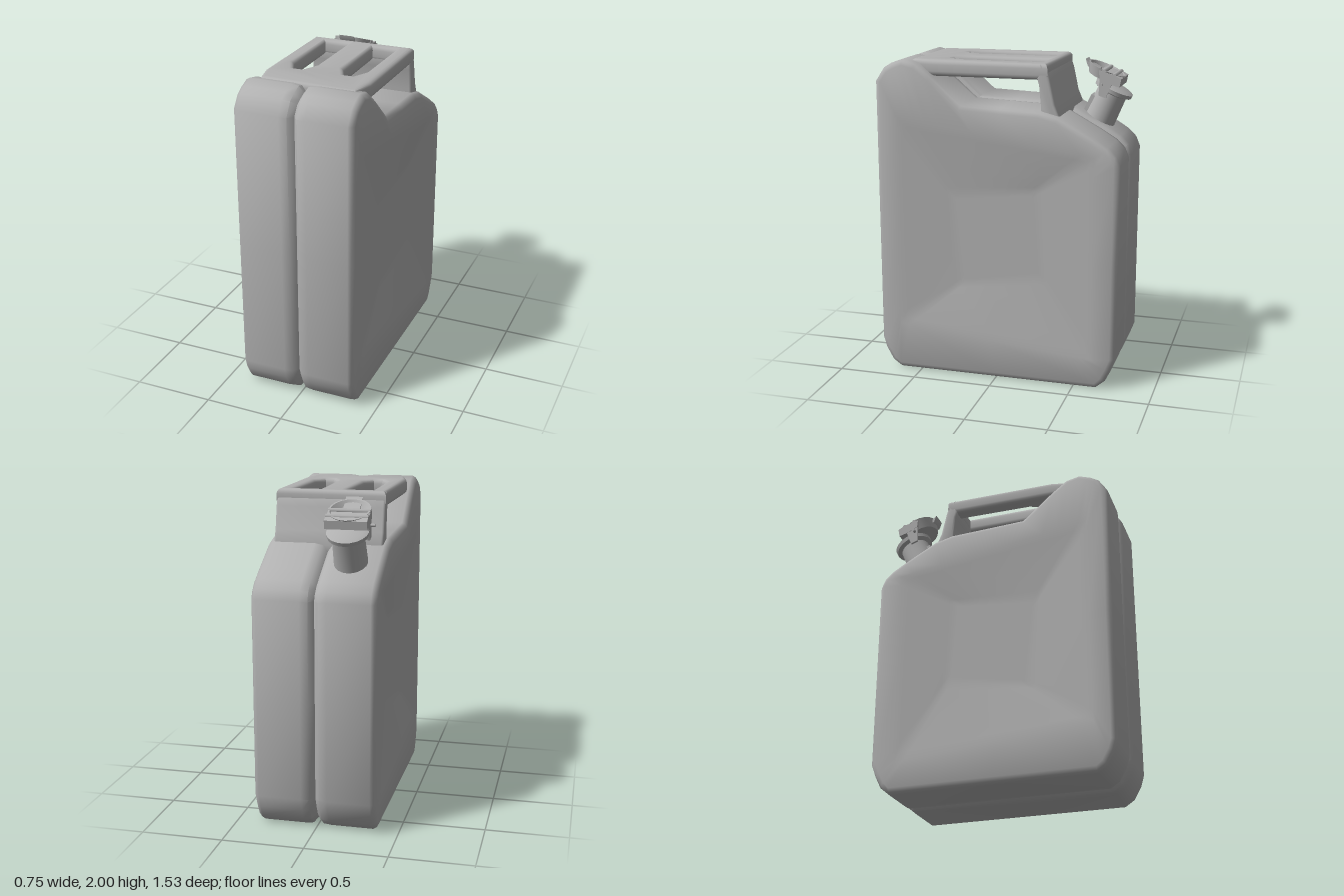
import * as THREE from 'three';
import { toCreasedNormals } from 'three/addons/utils/BufferGeometryUtils.js';

const steel = new THREE.MeshStandardMaterial({ color: 0xb0b0b0 });
steel.name = 'grey steel';

// Can outline as [z, y], one list per side, each starting at a corner
const sides = [
  [[0.71, 1.945], [0.66, 1.975], [0.59, 2], [0.5, 1.98], [0.4, 1.905], [0.21, 1.74],
    [-0.03, 1.73], [-0.27, 1.72], [-0.39, 1.69], [-0.6, 1.575]],
  [[-0.69, 1.52], [-0.74, 1.47], [-0.765, 1.41], [-0.765, 0.8], [-0.765, 0.2]],
  [[-0.735, 0.12], [-0.7, 0.05], [-0.64, 0], [0, 0], [0.64, 0]],
  [[0.7, 0.04], [0.745, 0.12], [0.765, 0.19], [0.765, 1], [0.765, 1.86]],
];
const outline = sides.flat();

// Outline moved inward by d
function inset(d) {
  const n = outline.length;
  return outline.map(([z, y], i) => {
    const a = outline[(i + n - 1) % n], b = outline[(i + 1) % n];
    const tz = b[0] - a[0], ty = b[1] - a[1], l = Math.hypot(tz, ty);
    return [z - (ty / l) * d, y + (tz / l) * d];
  });
}

// Four-cornered ring sampled to match the outline points
function quadRing(corners) {
  return sides.flatMap((side, s) => {
    const pts = [...side, sides[(s + 1) % 4][0]];
    const run = [0];
    for (let i = 1; i < pts.length; i++) {
      run.push(run[i - 1] + Math.hypot(pts[i][0] - pts[i - 1][0], pts[i][1] - pts[i - 1][1]));
    }
    const a = corners[s], b = corners[(s + 1) % 4];
    return side.map((_, i) => {
      const t = run[i] / run[run.length - 1];
      return [a[0] + (b[0] - a[0]) * t, a[1] + (b[1] - a[1]) * t];
    });
  });
}

// Two pressed shells: centre seam, rounded rims and sunken side panels
function bodyGeometry() {
  const rim = [[0.62, 1.64], [-0.61, 1.46], [-0.61, 0.19], [0.63, 0.31]];
  const recess = [[0.29, 1.17], [-0.25, 1.23], [-0.29, 0.69], [0.23, 0.6]];
  const rimX = 0.373, recessX = 0.335;
  // ring part-way down the slope from rim to recess
  const slope = (t) => [rimX + (recessX - rimX) * t,
    quadRing(rim.map(([z, y], i) => [z + (recess[i][0] - z) * t, y + (recess[i][1] - y) * t]))];
  const half = [
    [0.03, inset(0.006)], [0.08, outline], [0.34, outline], [0.36, inset(0.012)], [rimX, inset(0.036)],
    slope(0), slope(0.12), slope(0.9), slope(1),
    [recessX, quadRing(recess.map(([z, y]) => [z * 0.9, 0.92 + (y - 0.92) * 0.9]))],
  ];
  const mirrored = half.map(([x, r]) => [-x, r]).reverse();
  const rings = [...mirrored, [0, inset(0.045)], ...half];
  const n = outline.length, pos = [], idx = [];
  rings.forEach(([x, r]) => r.forEach(([z, y]) => pos.push(x, y, z)));
  const end = rings.length * n, last = end - n;
  pos.push(-recessX, 0.92, 0, recessX, 0.92, 0);
  for (let i = 0; i < n; i++) {
    const j = (i + 1) % n;
    for (let k = 0; k < rings.length - 1; k++) {
      const a = k * n, b = a + n;
      idx.push(a + i, b + i, b + j, a + i, b + j, a + j);
    }
    idx.push(end, i, j, end + 1, last + j, last + i);
  }
  const g = new THREE.BufferGeometry();
  g.setAttribute('position', new THREE.Float32BufferAttribute(pos, 3));
  g.setIndex(idx);
  return toCreasedNormals(g, 0.85);
}

const toShape = (pts) => new THREE.Shape(pts.map(([a, b]) => new THREE.Vector2(a, b)));

// Side profile [z, y] extruded across x, centred on x = 0
function acrossX(pts, width, bevel) {
  const g = new THREE.ExtrudeGeometry(toShape(pts.map(([z, y]) => [-z, y])), {
    depth: width - 2 * bevel, bevelEnabled: bevel > 0, bevelSize: bevel,
    bevelThickness: bevel, bevelOffset: -bevel, bevelSegments: 3,
  });
  g.translate(0, 0, -(width - 2 * bevel) / 2).rotateY(Math.PI / 2);
  return toCreasedNormals(g, 0.8);
}

function add(parent, name, geometry, x = 0, y = 0, z = 0) {
  const mesh = new THREE.Mesh(geometry, steel);
  mesh.name = name;
  mesh.position.set(x, y, z);
  parent.add(mesh);
  return mesh;
}

// Three carrying bars cut from one rounded plate with two slots
function handleGeometry() {
  const b = 0.03;
  const plate = toShape([[-0.335, -0.315], [0.335, -0.315], [0.335, 0.4], [0.3, 0.55], [-0.3, 0.55], [-0.335, 0.4]]);
  for (const s of [-1, 1]) {
    plate.holes.push(new THREE.Path([[0.085, -0.25], [0.235, -0.25], [0.23, 0.22], [0.185, 0.315], [0.135, 0.315], [0.09, 0.22]]
      .map(([x, z]) => new THREE.Vector2(s * x, z))));
  }
  const g = new THREE.ExtrudeGeometry(plate, {
    depth: 0.1 - 2 * b, bevelEnabled: true, bevelSize: b, bevelThickness: b, bevelOffset: -b, bevelSegments: 4,
  });
  g.rotateX(Math.PI / 2).translate(0, 2 - b, 0);
  return toCreasedNormals(g, 0.8);
}

// Pouring neck with collar, and a round clamp lid tilted over it
function makeSpout() {
  const spout = new THREE.Group();
  spout.name = 'spout';
  spout.position.x = -0.175;

  const neck = add(spout, 'neck', toCreasedNormals(new THREE.LatheGeometry(
    [[0.105, -0.05], [0.1, 0.03], [0.095, 0.19], [0.122, 0.2], [0.125, 0.225], [0.1, 0.235], [0, 0.235]]
      .map(([r, y]) => new THREE.Vector2(r, y)), 20), 0.6), 0, 1.6, -0.53);
  neck.rotation.x = -0.43;

  const lid = add(spout, 'lid', toCreasedNormals(new THREE.LatheGeometry(
    [[0, -0.035], [0.1, -0.035], [0.125, 0.03], [0.115, 0.03], [0.09, 0], [0, 0]]
      .map(([r, y]) => new THREE.Vector2(r, y)), 20), 0.6), 0, 1.895, -0.565);
  lid.rotation.x = -0.4;

  // Curved lever over the lid, with stiffening ribs
  add(spout, 'lever', acrossX([[-0.545, 1.92], [-0.6, 1.905], [-0.64, 1.895], [-0.685, 1.87],
    [-0.675, 1.82], [-0.62, 1.835], [-0.55, 1.87]], 0.25, 0));
  for (const z of [-0.575, -0.64]) {
    const rib = add(spout, 'leverRib', new THREE.CylinderGeometry(0.014, 0.014, 0.25, 8), 0, 1.915 + (z + 0.575) * 0.4, z);
    rib.rotation.z = Math.PI / 2;
  }
  add(spout, 'leverTip', acrossX([[-0.445, 1.98], [-0.46, 1.935], [-0.53, 1.895], [-0.53, 1.92], [-0.47, 1.955]], 0.1, 0));

  // Clamp arms and hinge pin
  for (const s of [-1, 1]) {
    add(spout, 'clampArm', acrossX([[-0.55, 1.88], [-0.63, 1.85], [-0.59, 1.75], [-0.545, 1.765]], 0.015, 0), s * 0.115);
  }
  const pin = add(spout, 'hingePin', new THREE.CylinderGeometry(0.009, 0.009, 0.3, 8), 0, 1.835, -0.565);
  pin.rotation.z = Math.PI / 2;
  // Catch at the back of the neck
  add(spout, 'catch', acrossX([[-0.44, 1.665], [-0.485, 1.76], [-0.52, 1.745], [-0.47, 1.64]], 0.1, 0));
  return spout;
}

export function createModel() {
  const can = new THREE.Group();
  can.name = 'fuelCan';
  add(can, 'body', bodyGeometry());
  add(can, 'handleBars', handleGeometry());
  // Wall carrying the handle bars down to the shoulder
  add(can, 'handlePost', acrossX([[-0.268, 1.995], [-0.29, 1.985], [-0.312, 1.955], [-0.33, 1.9], [-0.36, 1.76],
    [-0.395, 1.68], [-0.38, 1.62], [-0.275, 1.62], [-0.275, 1.74], [-0.262, 1.87], [-0.25, 1.91]], 0.67, 0.015));
  can.add(makeSpout());
  return can;
}
